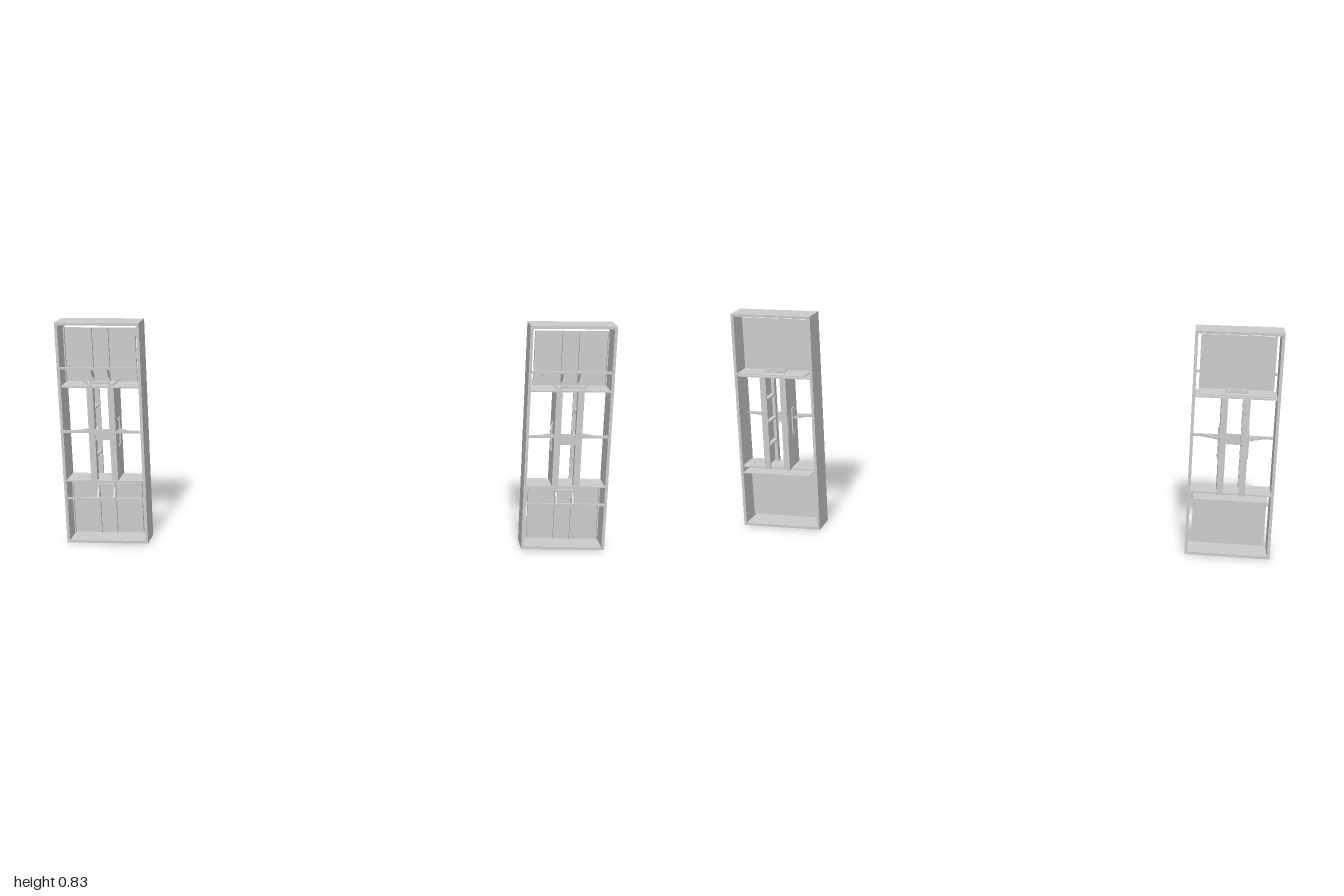
import * as THREE from 'three';

const material = new THREE.MeshStandardMaterial({ color: 0xcccccc, flatShading: true });
const MID = 0.42; // height about which upper and lower fittings mirror

// Box given by its limits on each axis
function box(parent, name, x0, x1, y0, y1, z0, z1) {
  const g = new THREE.BoxGeometry(Math.abs(x1 - x0), Math.abs(y1 - y0), Math.abs(z1 - z0));
  g.translate((x0 + x1) / 2, (y0 + y1) / 2, (z0 + z1) / 2);
  const m = new THREE.Mesh(g, material);
  m.name = name;
  parent.add(m);
}

// Square bar between two points
function bar(parent, name, a, b, t = 0.007) {
  const p = new THREE.Vector3(...a), q = new THREE.Vector3(...b);
  const m = new THREE.Mesh(new THREE.BoxGeometry(t, t, p.distanceTo(q)), material);
  m.position.copy(p).add(q).multiplyScalar(0.5);
  m.lookAt(q);
  m.name = name;
  parent.add(m);
}

function outerFrame(unit) {
  const s = new THREE.Shape();
  s.moveTo(-0.1525, 0).lineTo(0.1525, 0).lineTo(0.1525, 0.835).lineTo(-0.1525, 0.835).closePath();
  const h = new THREE.Path();
  h.moveTo(-0.142, 0.01).lineTo(-0.142, 0.825).lineTo(0.142, 0.825).lineTo(0.142, 0.01).closePath();
  s.holes.push(h);
  const g = new THREE.ExtrudeGeometry(s, { depth: 0.102, bevelEnabled: false });
  g.translate(0, 0, -0.037);
  const m = new THREE.Mesh(g, material);
  m.name = 'outerFrame';
  unit.add(m);
}

// Panel, shelf, rails and braces at one end; d is +1 for the top, -1 for the bottom
function endFittings(unit, d) {
  const e = new THREE.Group();
  e.name = d > 0 ? 'upperFittings' : 'lowerFittings';
  const y = (h) => MID + d * h;
  box(e, 'panel', -0.131, 0.131, y(0.193), y(0.391), 0.02, 0.023);
  box(e, 'shelf', -0.131, 0.131, y(0.193), y(0.196), -0.065, 0.02);
  box(e, 'divider', -0.143, 0.143, y(0.176), y(0.181), -0.035, 0.062);
  box(e, 'crossRail', -0.143, 0.143, y(0.243), y(0.251), 0.054, 0.063);
  for (const s of [-1, 1]) {
    box(e, 'panelRib', s * 0.027, s * 0.033, y(0.196), y(0.391), 0.023, 0.033);
    box(e, 'panelEdge', s * 0.127, s * 0.131, y(0.196), y(0.391), 0.023, 0.031);
    bar(e, 'diagonalBrace', [s * 0.045, y(0.185), 0.05], [s * 0.105, y(0.245), 0.058]);
    bar(e, 'depthBrace', [s * 0.03, y(0.247), 0.056], [s * 0.03, y(0.2), 0.024], 0.006);
    bar(e, 'columnLink', [s * 0.045, y(0.16), 0.056], [s * 0.03, y(0.2), 0.056], 0.006);
    // Small open bracket on the outer face of the shelf
    box(e, 'bracketSide', s * 0.02, s * 0.028, y(0.196), y(0.204), -0.035, 0.008);
    const z = -0.014 + s * 0.012;
    box(e, 'bracketBar', -0.04, 0.04, y(0.196), y(0.204), z - 0.004, z + 0.004);
  }
  box(e, 'topLink', -0.033, 0.033, y(0.19), y(0.198), 0.05, 0.06);
  unit.add(e);
}

// Channel column with a carrying handle; s is the side
function column(unit, s) {
  const c = new THREE.Group();
  c.name = s > 0 ? 'leftColumn' : 'rightColumn';
  const y0 = 0.24, y1 = 0.6;
  // Side plate with a slot near its back edge
  box(c, 'sidePlate', s * 0.046, s * 0.05, y0, y1, -0.036, 0.06);
  box(c, 'sidePlateEdge', s * 0.046, s * 0.05, y0, y1, -0.048, -0.041);
  box(c, 'sidePlateUpper', s * 0.046, s * 0.05, 0.457, y1, -0.041, -0.036);
  box(c, 'sidePlateLower', s * 0.046, s * 0.05, y0, 0.38, -0.041, -0.036);
  // Flanges and their return lips
  box(c, 'frontFlange', s * 0.03, s * 0.05, y0, y1, 0.056, 0.06);
  box(c, 'backFlange', s * 0.029, s * 0.05, y0, y1, -0.048, -0.044);
  box(c, 'frontLip', s * 0.027, s * 0.03, y0, y1, 0.038, 0.06);
  box(c, 'backLip', s * 0.027, s * 0.03, y0, y1, -0.048, -0.041);
  for (const h of [0.33, 0.42, 0.51]) {
    box(c, 'columnRung', s * 0.029, s * 0.047, h - 0.003, h + 0.003, -0.034, 0.05);
  }
  // Flat C-shaped handle on the side plate
  box(c, 'handleGrip', s * 0.05, s * 0.055, 0.37, 0.47, -0.002, 0.003);
  for (const h of [0.37, 0.47]) box(c, 'handleEnd', s * 0.05, s * 0.055, h - 0.003, h + 0.003, -0.002, 0.022);
  // Side rail and its brace back to the column
  box(c, 'sideRail', s * 0.05, s * 0.143, 0.426, 0.435, 0.053, 0.062);
  bar(c, 'sideBrace', [s * 0.11, 0.43, 0.056], [s * 0.05, 0.43, 0.02]);
  unit.add(c);
}

function createUnit(name) {
  const unit = new THREE.Group();
  unit.name = name;
  outerFrame(unit);
  for (const d of [1, -1]) endFittings(unit, d);
  for (const s of [-1, 1]) column(unit, s);
  box(unit, 'centrePlate', -0.03, 0.03, 0.4, 0.44, 0.054, 0.058);
  return unit;
}

export function createModel() {
  const model = new THREE.Group();
  model.name = 'pairOfFrames';
  for (const s of [-1, 1]) {
    const unit = createUnit(s > 0 ? 'leftUnit' : 'rightUnit');
    unit.position.x = s * 0.8475;
    model.add(unit);
  }
  return model;
}
